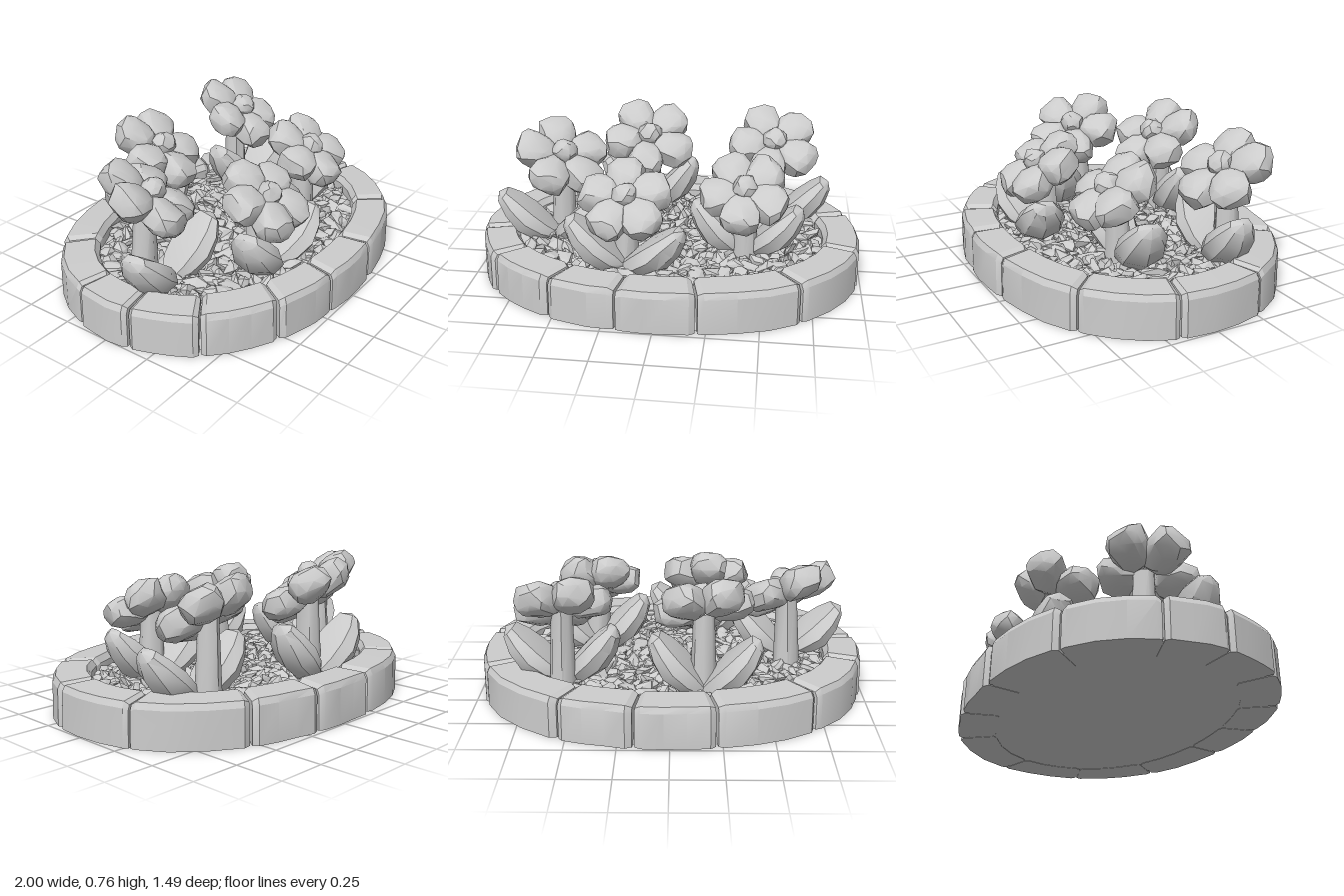
import * as THREE from 'three';
import { mergeVertices, mergeGeometries, toCreasedNormals } from 'three/addons/utils/BufferGeometryUtils.js';

const material = new THREE.MeshStandardMaterial({ color: 0xcccccc });
const UP = new THREE.Vector3(0, 1, 0);

let seed = 7;
function rand(lo = 0, hi = 1) {
  seed = (seed * 16807) % 2147483647;
  return lo + (hi - lo) * (seed / 2147483647);
}

function addMesh(parent, geometry, name) {
  const mesh = new THREE.Mesh(geometry, material);
  mesh.name = name;
  parent.add(mesh);
  return mesh;
}

// Move every shared vertex by a rule, then crease the normals.
function reshape(geometry, rule, crease = 0.6) {
  geometry.deleteAttribute('uv');
  geometry.deleteAttribute('normal');
  const g = mergeVertices(geometry, 1e-4);
  const p = g.attributes.position;
  const v = new THREE.Vector3();
  for (let i = 0; i < p.count; i++) {
    rule(v.fromBufferAttribute(p, i));
    p.setXYZ(i, v.x, v.y, v.z);
  }
  return toCreasedNormals(g, crease);
}

function jitter(v, amount) {
  v.x += rand(-amount, amount);
  v.y += rand(-amount, amount);
  v.z += rand(-amount, amount);
}

// Pushes a value in -1..1 towards its limits, making round forms blockier.
const swell = (value, power) => Math.sign(value) * Math.abs(value) ** power;

// Curved border block: a bevelled section swept along part of a fat ellipse.
function stoneGeometry(t0, t1) {
  const section = [[1, 0], [0.98, 0.185], [0.9, 0.215], [0.12, 0.222], [0, 0.19], [0, 0]];
  const spans = 3, n = section.length, height = rand(0.98, 1.01);
  const gap = 0.006, bevel = 0.03;
  const stations = [[t0 + gap, 0.88]];
  for (let i = 0; i <= spans; i++) {
    stations.push([THREE.MathUtils.lerp(t0 + gap + bevel, t1 - gap - bevel, i / spans), 1]);
  }
  stations.push([t1 - gap, 0.88]);
  const pos = [], idx = [];
  for (const [t, s] of stations) {
    const wobble = rand(-0.03, 0.03);
    const bulge = 1 + 0.03 * Math.sin(2 * t) ** 2;
    for (const [u, y] of section) {
      const w = 0.5 + (u - 0.5) * s + wobble * u;
      pos.push((0.805 + 0.194 * w) * bulge * Math.cos(t), y * height * (y > 0 ? 0.4 + 0.6 * s : 1),
        (0.555 + 0.188 * w) * bulge * Math.sin(t));
    }
  }
  const last = stations.length - 1;
  for (let i = 0; i < last; i++) {
    for (let j = 0; j < n; j++) {
      const a = i * n + j, b = i * n + (j + 1) % n;
      idx.push(a, b, a + n, b, b + n, a + n);
    }
  }
  for (let j = 1; j < n - 1; j++) {
    idx.push(0, j + 1, j, last * n, last * n + j, last * n + j + 1);
  }
  const g = new THREE.BufferGeometry();
  g.setAttribute('position', new THREE.Float32BufferAttribute(pos, 3));
  g.setIndex(idx);
  return toCreasedNormals(g, 0.45);
}

function createBorder() {
  const border = new THREE.Group();
  border.name = 'stoneBorder';
  const joints = [-80, -58, -21.5, 14, 47, 78, 100.5, 121, 145.5, 170.5, 194.5, 226.5, 257, 280];
  for (let i = 0; i < joints.length - 1; i++) {
    const [t0, t1] = [joints[i], joints[i + 1]].map(THREE.MathUtils.degToRad);
    addMesh(border, stoneGeometry(t0, t1), 'borderStone');
  }
  return border;
}

// Sharp chips scattered evenly over the soil.
function createGravel() {
  const chips = [];
  const count = 420;
  for (let i = 0; i < count; i++) {
    const r = Math.sqrt((i + 0.5) / count), t = i * 2.39996;
    const g = reshape(new THREE.IcosahedronGeometry(1, 0), v => jitter(v, 0.35), 0.1);
    g.scale(rand(0.035, 0.075), rand(0.02, 0.035), rand(0.022, 0.045));
    g.rotateZ(rand(-0.5, 0.5));
    g.rotateY(rand(0, 6.28));
    g.translate(0.8 * r * Math.cos(t), rand(0.14, 0.17), 0.55 * r * Math.sin(t));
    chips.push(g);
  }
  return mergeGeometries(chips);
}

// Plump blocky petal, narrow at the flower's middle (local +x points outward).
function petalGeometry() {
  return reshape(new THREE.IcosahedronGeometry(1, 1), v => {
    jitter(v, 0.08);
    v.z = swell(v.z, 0.8) * 0.112 * (0.9 + 0.18 * v.x);
    v.y = swell(v.y, 0.7) * 0.079 + 0.008 * v.x;
    v.x = swell(v.x, 0.85) * 0.113;
  }, 0.55);
}

// Thick pointed leaf growing along +y, folded along its midrib.
function leafGeometry() {
  return reshape(new THREE.SphereGeometry(1, 8, 6), v => {
    const along = (v.y + 1) / 2;
    const taper = 1.08 - 0.15 * Math.abs(v.y);
    jitter(v, 0.04);
    v.x = swell(v.x, 0.9) * 0.12 * taper;
    v.z = swell(v.z, 0.8) * 0.075 * taper + 0.15 * Math.abs(v.x) - 0.03 * Math.sin(along * Math.PI);
    v.y = along * 0.4;
  }, 0.6);
}

function createFlower({ x, y, z, radius, turn, lean = 0, tilt = 0.62, rootZ, leaves }) {
  const flower = new THREE.Group();
  flower.name = 'flower';

  // Head: five petals round a button
  const head = new THREE.Group();
  head.name = 'flowerHead';
  head.position.set(x, y, z);
  head.rotation.set(tilt, 0, lean);
  for (let i = 0; i < 5; i++) {
    const angle = THREE.MathUtils.degToRad(turn + i * 72);
    const petal = addMesh(head, petalGeometry(), 'petal');
    petal.position.set(Math.cos(angle), 0, -Math.sin(angle)).multiplyScalar(radius - 0.108);
    petal.rotation.set(rand(-0.15, 0.15), angle, 0, 'YXZ');
  }
  const button = reshape(new THREE.IcosahedronGeometry(0.065, 1), v => jitter(v, 0.006), 0.5);
  addMesh(head, button, 'flowerCentre').position.y = 0.05;
  flower.add(head);

  // Stem, wider at the root
  const foot = new THREE.Vector3(x * 1.02, 0.1, z - 0.03);
  const top = new THREE.Vector3(x, y - 0.02, z - 0.02);
  const dir = top.clone().sub(foot);
  const stemShape = new THREE.CylinderGeometry(0.052, 0.07, dir.length(), 8);
  const stem = addMesh(flower, reshape(stemShape, v => jitter(v, 0.004), 0.85), 'stem');
  stem.position.copy(foot).lerp(top, 0.5);
  stem.quaternion.setFromUnitVectors(UP, dir.normalize());

  // Leaves fan out from the root; heading 0 points to +z, 90 to +x
  for (const [heading, spread] of leaves) {
    const h = THREE.MathUtils.degToRad(heading);
    const leaf = addMesh(flower, leafGeometry(), 'leaf');
    leaf.rotation.set(-spread, h + Math.PI, 0, 'YXZ');
    leaf.position.set(foot.x, 0.14, rootZ);
  }
  return flower;
}

export function createModel() {
  seed = 7;
  const model = new THREE.Group();
  model.name = 'flowerBed';

  // Soil slab and gravel inside the border
  const soil = addMesh(model, new THREE.CylinderGeometry(0.9, 0.975, 0.141, 48), 'soil');
  soil.scale.z = 0.73;
  soil.position.y = 0.0725;
  addMesh(model, createGravel(), 'gravel');
  model.add(createBorder());

  const flowers = [
    { x: -0.59, y: 0.55, z: -0.07, radius: 0.25, turn: 110, lean: -0.35, tilt: 0.48, rootZ: 0.05, leaves: [[-82, 0.85], [76, 0.8]] },
    { x: -0.16, y: 0.57, z: -0.36, radius: 0.248, turn: 123, lean: -0.12, rootZ: -0.43, leaves: [[-95, 0.75], [85, 0.7]] },
    { x: 0.525, y: 0.57, z: -0.335, radius: 0.245, turn: 116, lean: -0.1, rootZ: -0.27, leaves: [[85, 0.82], [-97, 0.75]] },
    { x: 0.395, y: 0.51, z: 0.21, radius: 0.225, turn: 120, rootZ: 0.12, leaves: [[-85, 0.75], [80, 0.8]] },
    { x: -0.185, y: 0.49, z: 0.325, radius: 0.232, turn: 95, rootZ: 0.37, leaves: [[-82, 0.78], [78, 0.9]] },
  ];
  for (const spec of flowers) model.add(createFlower(spec));
  return model;
}
